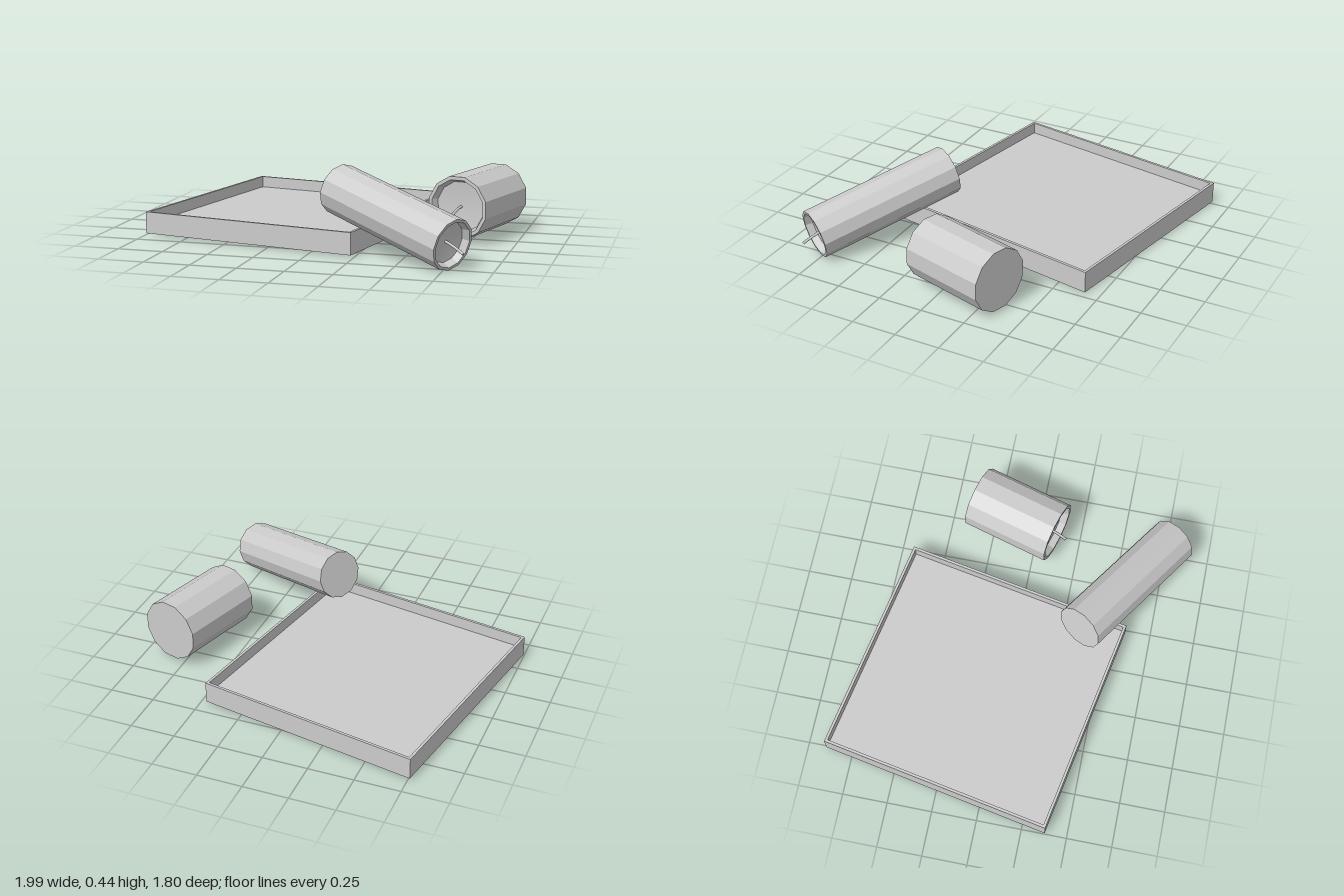
import * as THREE from 'three';

const SIDES = 12;
const flat = new THREE.MeshStandardMaterial({ color: 0xcccccc, flatShading: true });
const smooth = new THREE.MeshStandardMaterial({ color: 0xcccccc });

function addMesh(parent, name, geometry, material) {
  const mesh = new THREE.Mesh(geometry, material);
  mesh.name = name;
  parent.add(mesh);
  return mesh;
}

const lathe = (pairs) =>
  new THREE.LatheGeometry(pairs.map(([r, y]) => new THREE.Vector2(r, y)), SIDES);

// Square tray: closed bottom, raised floor and thin rim walls
function makeTray(width, depth, height, wall, floorY) {
  const tray = new THREE.Group();
  tray.name = 'tray';
  const rect = (Type, w, d) => {
    const path = new Type();
    path.moveTo(-w / 2, -d / 2);
    path.lineTo(w / 2, -d / 2);
    path.lineTo(w / 2, d / 2);
    path.lineTo(-w / 2, d / 2);
    path.closePath();
    return path;
  };
  const outline = rect(THREE.Shape, width, depth);
  outline.holes.push(rect(THREE.Path, width - 2 * wall, depth - 2 * wall));
  const walls = new THREE.ExtrudeGeometry(outline, { depth: height, bevelEnabled: false });
  walls.rotateX(-Math.PI / 2);
  addMesh(tray, 'trayWalls', walls, flat);
  const floor = new THREE.BoxGeometry(width - 2 * wall, floorY, depth - 2 * wall);
  addMesh(tray, 'trayFloor', floor.translate(0, floorY / 2, 0), flat);
  return tray;
}

// Fallen candle lying from the base centre to the top centre
function makeCandle(name, base, top, radius, wickTip) {
  const candle = new THREE.Group();
  candle.name = name;
  const axis = top.clone().sub(base);
  const length = axis.length();
  axis.normalize();

  const wax = new THREE.Group();
  wax.name = 'wax';
  wax.position.copy(base);
  wax.quaternion.setFromUnitVectors(new THREE.Vector3(0, 1, 0), axis);
  candle.add(wax);

  const rim = radius * 0.89;
  const pool = radius * 0.8;
  addMesh(wax, 'waxBody', lathe([[0, 0], [radius, 0], [radius, length], [rim, length]]), flat);
  addMesh(wax, 'rimInside', lathe([[rim, length], [pool, length - 0.04]]), flat);
  // Softly dished pool of wax
  addMesh(wax, 'waxPool', lathe([
    [pool, length - 0.04], [radius * 0.4, length - 0.048], [0, length - 0.05],
  ]), smooth);

  // Bent wick with a closed tip
  const root = top.clone().addScaledVector(axis, -0.055);
  const bend = root.clone().addScaledVector(axis, 0.055);
  const curve = new THREE.QuadraticBezierCurve3(root, bend, wickTip);
  addMesh(candle, 'wick', new THREE.TubeGeometry(curve, 8, 0.008, 6), smooth);
  const cap = addMesh(candle, 'wickTip', new THREE.CircleGeometry(0.008, 6), flat);
  cap.position.copy(wickTip);
  cap.quaternion.setFromUnitVectors(new THREE.Vector3(0, 0, 1), curve.getTangent(1));
  return candle;
}

export function createModel() {
  const model = new THREE.Group();
  model.name = 'trayWithCandles';
  const v = (x, y, z) => new THREE.Vector3(x, y, z);

  const tray = makeTray(1.25, 1.3, 0.12, 0.015, 0.055);
  tray.position.set(-0.264, 0.015, -0.146);
  tray.rotation.y = -0.184;
  model.add(tray);

  model.add(makeCandle('tallCandle',
    v(0.1, 0.315, 0.355), v(0.8, 0.14, 0.78), 0.137, v(0.86, 0.105, 0.815)));
  model.add(makeCandle('shortCandle',
    v(0.828, 0.197, -0.363), v(0.688, 0.197, 0.122), 0.175, v(0.672, 0.165, 0.175)));
  return model;
}
